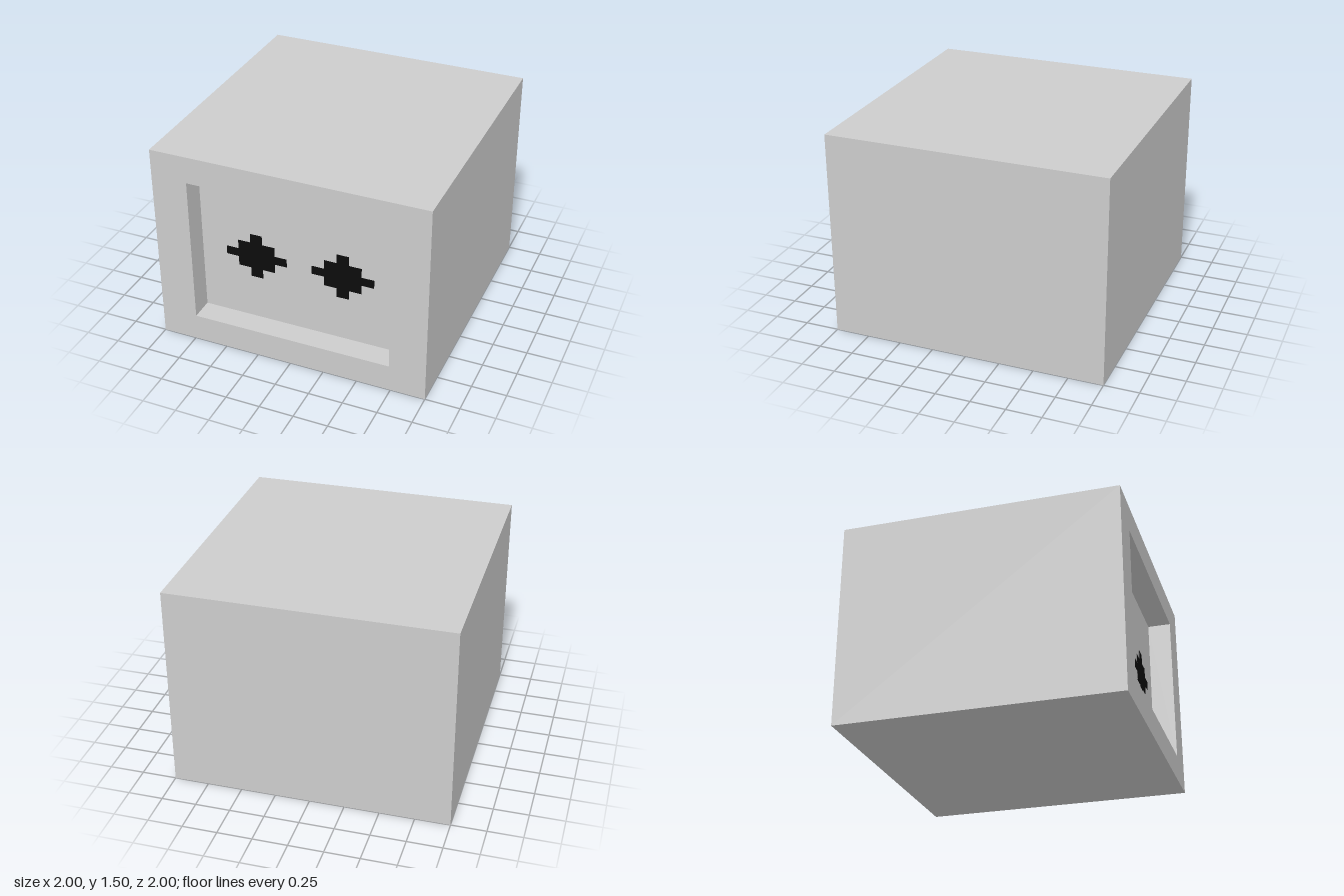
import * as THREE from 'three';

const W = 2, H = 1.5, D = 2;                            // outer block
const RW = 1.47, RH = 1.1, RY = 0.75, RECESS = 0.17;    // front recess

// Box without its front (+z) face; inward = true turns it inside out
function openBox(w, h, d, inward = false) {
  const geo = new THREE.BoxGeometry(w, h, d);
  const index = Array.from(geo.index.array);
  index.splice(24, 6);
  if (inward) {
    index.reverse();
    geo.attributes.normal.array.forEach((n, i, a) => { a[i] = -n; });
  }
  geo.setIndex(index);
  geo.clearGroups();
  return geo;
}

// Closed outline from half-width / half-height steps, mirrored to all four quarters
function steppedOutline(quarter) {
  const q = quarter.map(([x, y]) => new THREE.Vector2(x, y));
  const flip = (pts, sx, sy) => pts.map(p => new THREE.Vector2(p.x * sx, p.y * sy));
  const back = [...q].reverse();
  return new THREE.Shape([...q, ...flip(back, -1, 1), ...flip(q, -1, -1), ...flip(back, 1, -1)]);
}

export function createModel() {
  const grey = new THREE.MeshStandardMaterial({ color: 0xcccccc });
  grey.name = 'light grey';
  const black = new THREE.MeshStandardMaterial({ color: 0x0b0b0b });
  black.name = 'black';

  const model = new THREE.Group();
  model.name = 'blockHead';
  const add = (name, geo, mat, x, y, z) => {
    const mesh = new THREE.Mesh(geo, mat);
    mesh.name = name;
    mesh.position.set(x, y, z);
    model.add(mesh);
  };

  // Outer casing: sides, top, bottom and back
  add('casing', openBox(W, H, D), grey, 0, H / 2, 0);

  // Front frame around the opening
  const frame = steppedOutline([[W / 2, H / 2]]);
  frame.holes.push(steppedOutline([[RW / 2, RH / 2]]));
  add('frontFrame', new THREE.ShapeGeometry(frame), grey, 0, RY, D / 2);

  // Recessed face panel with its side walls
  add('facePanel', openBox(RW, RH, RECESS, true), grey, 0, RY, D / 2 - RECESS / 2);

  // Stepped, diamond-like eyes as thin plates on the panel
  const eye = new THREE.ExtrudeGeometry(
    steppedOutline([[0.228, 0.031], [0.137, 0.031], [0.137, 0.102], [0.044, 0.102], [0.044, 0.173]]),
    { depth: 0.005, bevelEnabled: false });
  add('leftEye', eye, black, 0.328, 0.716, D / 2 - RECESS);
  add('rightEye', eye, black, -0.317, 0.716, D / 2 - RECESS);

  return model;
}
